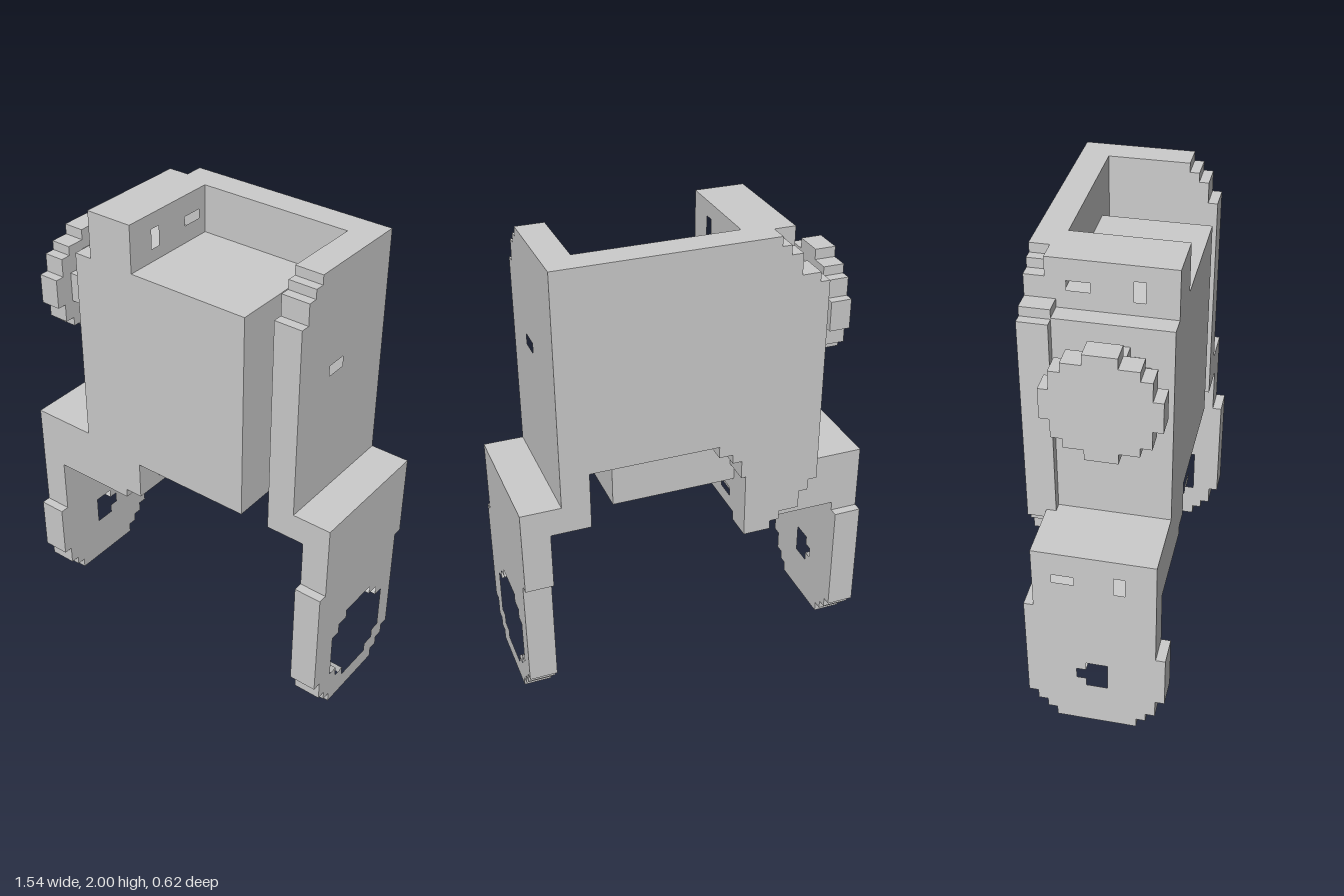
import * as THREE from 'three';

const material = new THREE.MeshStandardMaterial({ color: 0xcccccc, flatShading: true });

// Rectangle outline
const rect = (u0, u1, v0, v1) => [[u0, v0], [u1, v0], [u1, v1], [u0, v1]];

// Stair-stepped round outline; spans are half-widths and half-heights, widest first
function steppedRound(cu, cv, spans) {
  const q = [];
  spans.forEach(([w, h], i) => {
    q.push([w, h]);
    if (i < spans.length - 1) q.push([spans[i + 1][0], h]);
  });
  const r = [...q].reverse();
  return [
    ...q,
    ...r.map(([w, h]) => [-w, h]),
    ...q.map(([w, h]) => [-w, -h]),
    ...r.map(([w, h]) => [w, -h]),
  ].map(([u, v]) => [cu + u, cv + v]);
}

function toShape(outline, holes = []) {
  const vec = (pts) => pts.map(([u, v]) => new THREE.Vector2(u, v));
  const shape = new THREE.Shape(vec(outline));
  holes.forEach((h) => shape.holes.push(new THREE.Path(vec(h))));
  return shape;
}

export function createModel() {
  const model = new THREE.Group();
  model.name = 'servoBracket';

  const add = (name, geometry) => {
    const mesh = new THREE.Mesh(geometry, material);
    mesh.name = name;
    model.add(mesh);
  };
  const box = (name, x0, x1, y0, y1, z0, z1) => {
    const g = new THREE.BoxGeometry(x1 - x0, y1 - y0, z1 - z0);
    add(name, g.translate((x0 + x1) / 2, (y0 + y1) / 2, (z0 + z1) / 2));
  };
  // Side profile given as (z, y), extruded along x
  const side = (name, x0, x1, outline, holes = []) => {
    const flip = (pts) => pts.map(([z, y]) => [-z, y]);
    const g = new THREE.ExtrudeGeometry(toShape(flip(outline), holes.map(flip)),
      { depth: x1 - x0, bevelEnabled: false });
    add(name, g.rotateY(Math.PI / 2).translate(x0, 0, 0));
  };
  // Pair of small screw slots on a side face at height y
  const slots = (y) => [
    rect(-0.15, -0.06, y - 0.02, y + 0.02),
    rect(0.1, 0.145, y - 0.04, y + 0.045),
  ];

  // Back plate with stepped corners and an arched cut-out below
  const plate = toShape([
    [0.6, 2], [-0.31, 2], [-0.31, 1.96], [-0.35, 1.96], [-0.35, 1.92], [-0.4, 1.92],
    [-0.4, 1.83], [-0.48, 1.83], [-0.48, 1.79], [-0.52, 1.79],
    [-0.52, 0.88], [-0.48, 0.88], [-0.48, 0.83], [-0.44, 0.83], [-0.44, 0.75],
    [-0.35, 0.75], [-0.35, 0.71], [-0.31, 0.71], [-0.31, 0.67], [-0.19, 0.67],
    [-0.19, 0.96], [-0.17, 0.96], [-0.17, 1.04], [-0.13, 1.04], [-0.13, 1.08],
    [-0.07, 1.08], [-0.07, 1.13], [0.48, 1.13], [0.48, 0.88], [0.6, 0.88],
  ]);
  add('backPlate', new THREE.ExtrudeGeometry(plate, { depth: 0.12, bevelEnabled: false })
    .translate(0, 0, -0.31));

  // Motor body and its mounting flanges
  box('motorBody', -0.48, 0.35, 0.88, 1.795, -0.19, 0.27);
  side('upperFlange', -0.4, -0.19, rect(-0.23, 0.27, 1.795, 2), slots(1.89));

  // Motor shaft and stepped horn disc
  side('shaft', -0.6, -0.48,
    steppedRound(0.04, 1.565, [[0.145, 0.065], [0.105, 0.105], [0.065, 0.145]]));
  side('hornDisc', -0.69, -0.6,
    steppedRound(0.04, 1.565, [[0.23, 0.065], [0.19, 0.145], [0.145, 0.185], [0.065, 0.23]]));

  // Side post with stepped upper front corner and a pivot slot
  side('sidePost', 0.48, 0.6, [
    [-0.19, 0.88], [0.27, 0.88], [0.27, 1.83], [0.23, 1.83], [0.23, 1.92],
    [0.19, 1.92], [0.19, 1.96], [0.15, 1.96], [0.15, 2], [-0.19, 2],
  ], [rect(-0.02, 0.07, 1.54, 1.585)]);

  // Hip bridges joining the legs to the frame
  box('leftHipBridge', 0.6, 0.65, 0.88, 1, -0.31, 0.27);
  side('rightHipBridge', -0.77, -0.27, rect(-0.23, 0.27, 0.71, 0.92), slots(0.79));
  side('rightHipEnd', -0.27, -0.19, rect(-0.23, 0.27, 0.71, 0.88), slots(0.79));
  box('rightHipUnderside', -0.65, -0.27, 0.67, 0.71, -0.23, 0.27);

  // Legs share a stepped round foot; the upper parts differ
  const foot = [
    [-0.27, 0.13], [-0.23, 0.13], [-0.23, 0.085], [-0.19, 0.085], [-0.19, 0.045],
    [-0.15, 0.045], [-0.15, 0], [0.19, 0], [0.19, 0.045], [0.23, 0.045],
    [0.23, 0.085], [0.27, 0.085], [0.27, 0.17], [0.31, 0.17],
  ];
  const bigHole = steppedRound(0, 0.27,
    [[0.19, 0.105], [0.145, 0.15], [0.09, 0.19]]);
  const smallHole = [
    [-0.02, 0.21], [0.07, 0.21], [0.07, 0.34], [-0.02, 0.34],
    [-0.02, 0.3], [-0.06, 0.3], [-0.06, 0.25], [-0.02, 0.25],
  ];
  side('leftLeg', 0.65, 0.77,
    [...foot, [0.31, 0.67], [0.27, 0.67], [0.27, 1], [-0.31, 1], [-0.31, 0.63], [-0.27, 0.63]],
    [bigHole]);
  side('rightLeg', -0.77, -0.65,
    [...foot, [0.31, 0.42], [0.27, 0.42], [0.27, 0.71], [-0.23, 0.71], [-0.23, 0.63], [-0.27, 0.63]],
    [smallHole]);

  return model;
}
